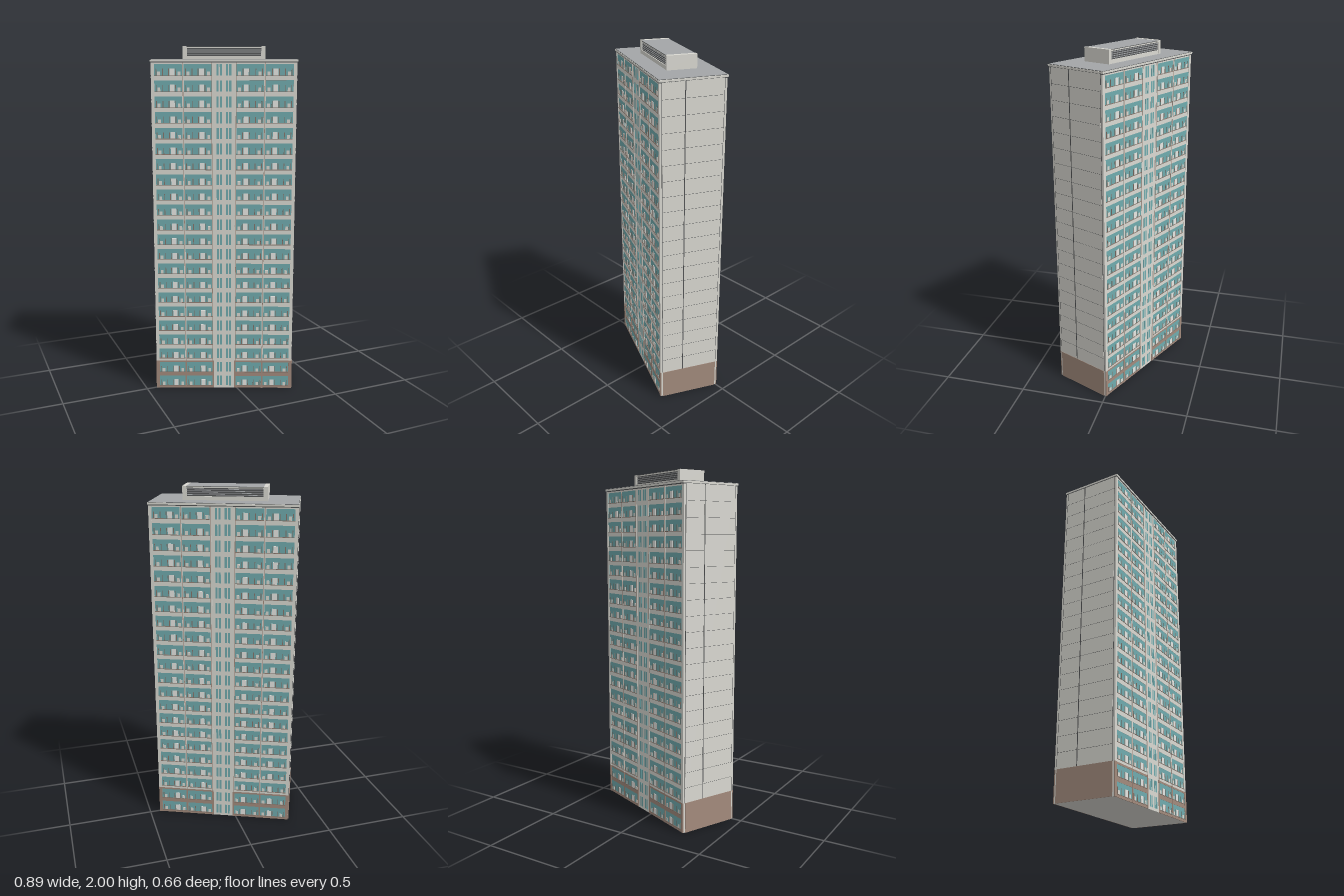
import * as THREE from 'three';
import { mergeGeometries } from 'three/addons/utils/BufferGeometryUtils.js';

const material = (name, color) => {
  const m = new THREE.MeshStandardMaterial({ color });
  m.name = name;
  return m;
};

const FLOORS = 22, PITCH = 1.91 / FLOORS, TOP = 1.91, BASE = 2 * PITCH;
const HALF_L = 0.402, CORE_D = 0.175;

export function createModel() {
  const wall = material('pale concrete', 0xdad9d2);
  const white = material('white door', 0xf2f2ee);
  const roofGrey = material('roof grey', 0xa3a6a8);
  const glass = material('teal glass', 0x70abae);
  const brown = material('brown cladding', 0xa38b7d);
  const trim = material('brown grey trim', 0x84746a);
  const dark = material('dark metal', 0x545657);

  // box from ranges
  const box = (x0, x1, y0, y1, z0, z1) =>
    new THREE.BoxGeometry(x1 - x0, y1 - y0, z1 - z0)
      .translate((x0 + x1) / 2, (y0 + y1) / 2, (z0 + z1) / 2);
  const add = (parent, name, mat, boxes) => {
    const mesh = new THREE.Mesh(mergeGeometries(boxes), mat);
    mesh.name = name;
    parent.add(mesh);
  };

  const tower = new THREE.Group();
  tower.name = 'tower';

  // core
  add(tower, 'core', wall, [box(-HALF_L, HALF_L, 0, TOP, -CORE_D, CORE_D)]);

  // one long facade and one end wall; used twice by half-turn symmetry
  function makeSide() {
    const side = new THREE.Group();
    const panes = [], doors = [], lowPanels = [], mullions = [], sills = [],
      spandrels = [], brownSpandrels = [], piers = [], brownPiers = [];
    const bays = [[-0.384, -0.231], [-0.221, -0.069], [0.069, 0.221], [0.231, 0.384]];

    for (let f = 0; f < FLOORS; f++) {
      const y = f * PITCH, w0 = y + 0.015, w1 = y + 0.076;
      for (const [a, b] of bays) {
        const c = (a + b) / 2, inward = -Math.sign(c);
        panes.push(box(a, b, w0, w1, CORE_D, 0.1775));
        // white door towards the stair core, low panels and posts beside it
        const d = c + inward * 0.022;
        doors.push(box(d - 0.013, d + 0.013, w0, w0 + 0.038, 0.1775, 0.1787));
        for (const o of [-0.052, 0.06])
          lowPanels.push(box(c + inward * o - 0.008, c + inward * o + 0.008, w0, w0 + 0.022, 0.1775, 0.1785));
        for (const o of [-0.066, -0.03, 0.003, 0.041])
          mullions.push(box(c + inward * o - 0.002, c + inward * o + 0.002, w0, w0 + 0.036, 0.1775, 0.1788));
        const list = f < 2 ? brownSpandrels : spandrels;
        list.push(box(a, b, y, w0, CORE_D, 0.179), box(a, b, w1, y + PITCH, CORE_D, 0.179));
        sills.push(box(a, b, w0 - 0.002, w0 + 0.001, CORE_D, 0.181));
      }
      // paired slot windows of the stair core
      for (const s of [-1, 1])
        for (const o of [-0.009, 0.009])
          panes.push(box(s * 0.026 + o - 0.006, s * 0.026 + o + 0.006, w0, w1, 0.178, 0.1788));
    }
    // vertical piers
    for (const s of [-1, 1]) {
      const edge = s > 0 ? [0.384, HALF_L] : [-HALF_L, -0.384];
      piers.push(box(...edge, BASE, TOP, CORE_D, 0.18));
      brownPiers.push(box(...edge, 0, BASE, CORE_D, 0.181));
    }
    const ribs = [], brownRibs = [];
    for (const x of [-0.226, -0.064, 0.064, 0.226]) {
      ribs.push(box(x - 0.005, x + 0.005, BASE, TOP, CORE_D, 0.18));
      brownRibs.push(box(x - 0.005, x + 0.005, 0, BASE, CORE_D, 0.18));
    }
    const pipes = [-0.226, -0.067, 0.067, 0.226].map(x =>
      box(x - 0.0015, x + 0.0015, BASE, TOP, 0.18, 0.1808));

    add(side, 'windowPanes', glass, panes);
    add(side, 'balconyDoors', white, doors);
    add(side, 'lowPanels', wall, lowPanels);
    add(side, 'windowPosts', trim, mullions);
    add(side, 'windowSills', trim, sills);
    add(side, 'spandrels', wall, spandrels);
    add(side, 'baseSpandrels', brown, brownSpandrels);
    add(side, 'cornerPiers', wall, piers);
    add(side, 'baseCornerPiers', brown, brownPiers);
    add(side, 'ribs', wall, ribs);
    add(side, 'baseRibs', brown, brownRibs);
    add(side, 'downpipes', brown, pipes);
    add(side, 'stairCore', wall, [box(-0.059, 0.059, 0, TOP, CORE_D, 0.178)]);

    // end wall: panels, joints and brown base
    add(side, 'endPanel', wall, [box(HALF_L, 0.404, BASE, TOP, -0.166, 0.166)]);
    add(side, 'endBase', brown, [box(HALF_L, 0.406, 0, BASE, -0.166, 0.166)]);
    const joints = [box(0.404, 0.4048, BASE, TOP, 0.0405, 0.0455)];
    for (let f = 3; f < FLOORS; f++)
      joints.push(box(0.404, 0.4045, f * PITCH - 0.0007, f * PITCH + 0.0007, -0.166, 0.166));
    for (const z of [-0.167, 0.167])
      joints.push(box(HALF_L, 0.4035, BASE, TOP, z - 0.0015, z + 0.0015));
    add(side, 'endJoints', dark, joints);
    return side;
  }
  for (const half of [0, 1]) {
    const side = makeSide();
    side.name = half ? 'backFacade' : 'frontFacade';
    side.rotation.y = half * Math.PI;
    tower.add(side);
  }

  // roof slab with shadow gap, pale rim and grey deck
  add(tower, 'roofGap', dark, [box(-0.404, 0.404, 1.907, 1.912, -0.182, 0.182)]);
  add(tower, 'roofRim', wall, [box(-0.406, 0.406, 1.912, 1.922, -0.185, 0.185)]);
  add(tower, 'roofEdge', dark, [box(-0.403, 0.403, 1.922, 1.9235, -0.183, 0.183)]);
  add(tower, 'roofDeck', roofGrey, [box(-0.401, 0.401, 1.922, 1.925, -0.1815, 0.1815)]);

  // rooftop plant room with louvred sides
  add(tower, 'plantRoom', wall, [box(-0.21, 0.21, 1.925, 1.993, -0.076, 0.076)]);
  add(tower, 'plantEnds', wall, [-1, 1].map(s =>
    box(s * 0.221 - 0.011, s * 0.221 + 0.011, 1.925, 2, -0.083, 0.083)));
  add(tower, 'plantRoof', roofGrey, [box(-0.21, 0.21, 1.993, 1.999, -0.08, 0.08)]);
  const rails = [], backs = [], slats = [], edges = [];
  for (const s of [-1, 1]) {
    const strip = (x, y0, y1, d0, d1) =>
      box(-x, x, y0, y1, Math.min(s * d0, s * d1), Math.max(s * d0, s * d1));
    rails.push(strip(0.21, 1.925, 1.946, 0.076, 0.082), strip(0.21, 1.99, 1.996, 0.076, 0.082));
    backs.push(strip(0.208, 1.946, 1.99, 0.076, 0.077));
    edges.push(strip(0.21, 1.996, 1.9985, 0.08, 0.082));
    for (let i = 0; i < 4; i++)
      slats.push(strip(0.208, 1.952 + i * 0.01, 1.955 + i * 0.01, 0.077, 0.08));
  }
  add(tower, 'plantRails', wall, rails);
  add(tower, 'louvreBacks', dark, backs);
  add(tower, 'louvreSlats', roofGrey, slats);
  add(tower, 'plantRoofEdges', dark, edges);

  // the tower stands turned on its plot
  tower.rotation.y = -0.408;
  const model = new THREE.Group();
  model.name = 'apartmentTower';
  model.add(tower);
  return model;
}
